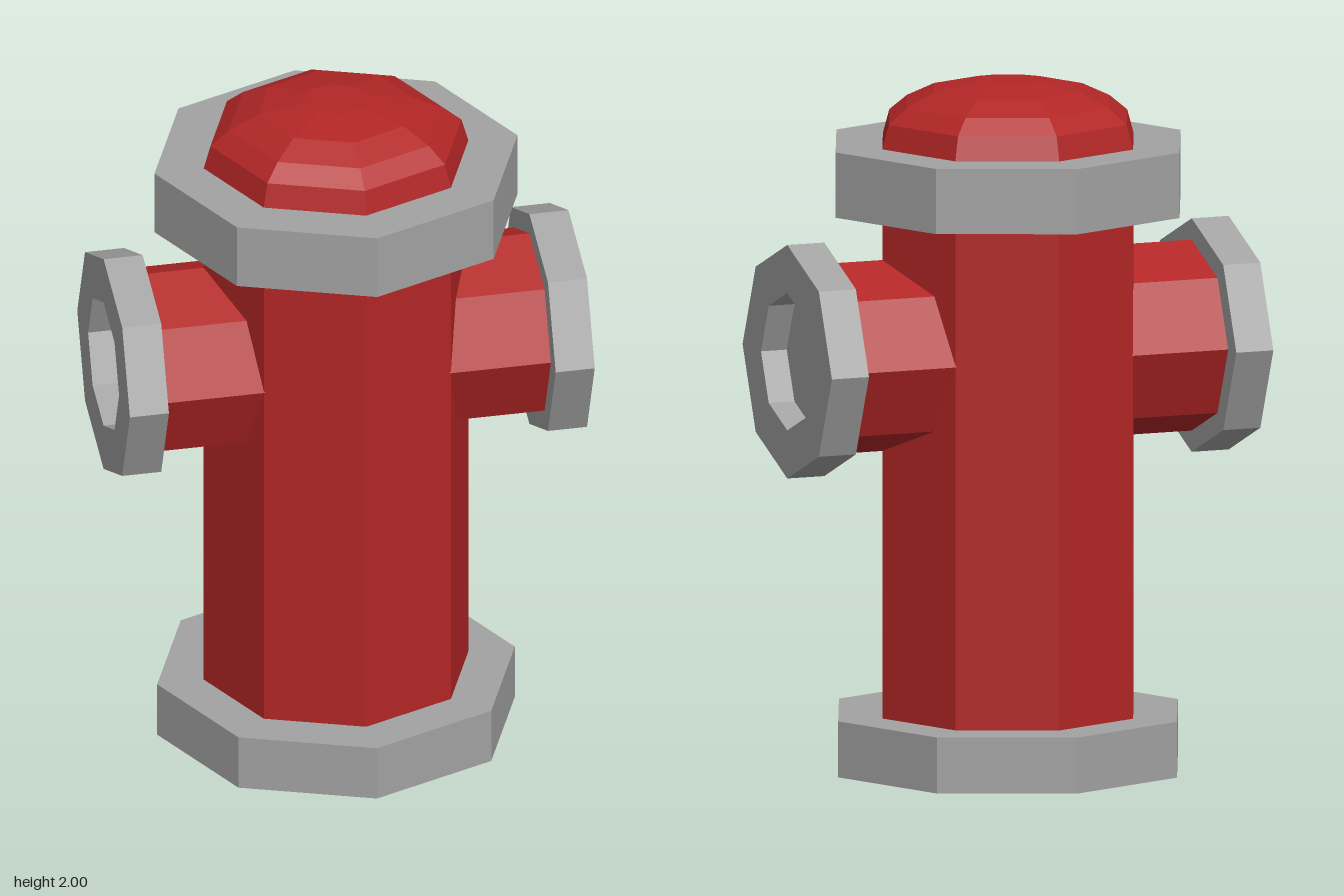
import * as THREE from 'three';

const red = new THREE.MeshStandardMaterial({ name: 'red paint', color: 0xb22626, flatShading: true, side: THREE.DoubleSide });
const grey = new THREE.MeshStandardMaterial({ name: 'grey metal', color: 0xa2a2a2, flatShading: true, side: THREE.DoubleSide });

// Eight-sided turned part from [radius, height] pairs, listed bottom to top
function turned(name, material, profile) {
  const points = profile.map(([r, y]) => new THREE.Vector2(r, y));
  const geometry = new THREE.LatheGeometry(points, 8).toNonIndexed();
  geometry.computeVertexNormals();
  const mesh = new THREE.Mesh(geometry, material);
  mesh.name = name;
  return mesh;
}

// Side outlet: short pipe with a recessed cap, pointing along +x or -x
function outlet(name, side) {
  const group = new THREE.Group();
  group.name = name;
  group.add(
    turned('pipe', red, [[0.278, 0.26], [0.278, 0.57]]),
    turned('cap', grey, [[0, 0.57], [0.34, 0.57], [0.34, 0.685], [0.2, 0.685], [0.2, 0.605], [0, 0.605]])
  );
  group.rotation.z = -side * Math.PI / 2;
  group.position.y = 1.22;
  return group;
}

export function createModel() {
  const model = new THREE.Group();
  model.name = 'fireHydrant';
  model.add(
    // Hollow foot, open underneath
    turned('baseFlange', grey, [[0.527, 0], [0.527, 0.163], [0.39, 0.163]]),
    turned('barrel', red, [[0.39, 0.163], [0.39, 1.82]]),
    turned('topFlange', grey, [[0.39, 1.63], [0.535, 1.63], [0.535, 1.82], [0.39, 1.82]]),
    turned('dome', red, [[0.39, 1.82], [0.37, 1.89], [0.315, 1.935], [0.23, 1.975], [0.095, 2], [0, 2]]),
    outlet('leftOutlet', 1),
    outlet('rightOutlet', -1)
  );
  return model;
}
